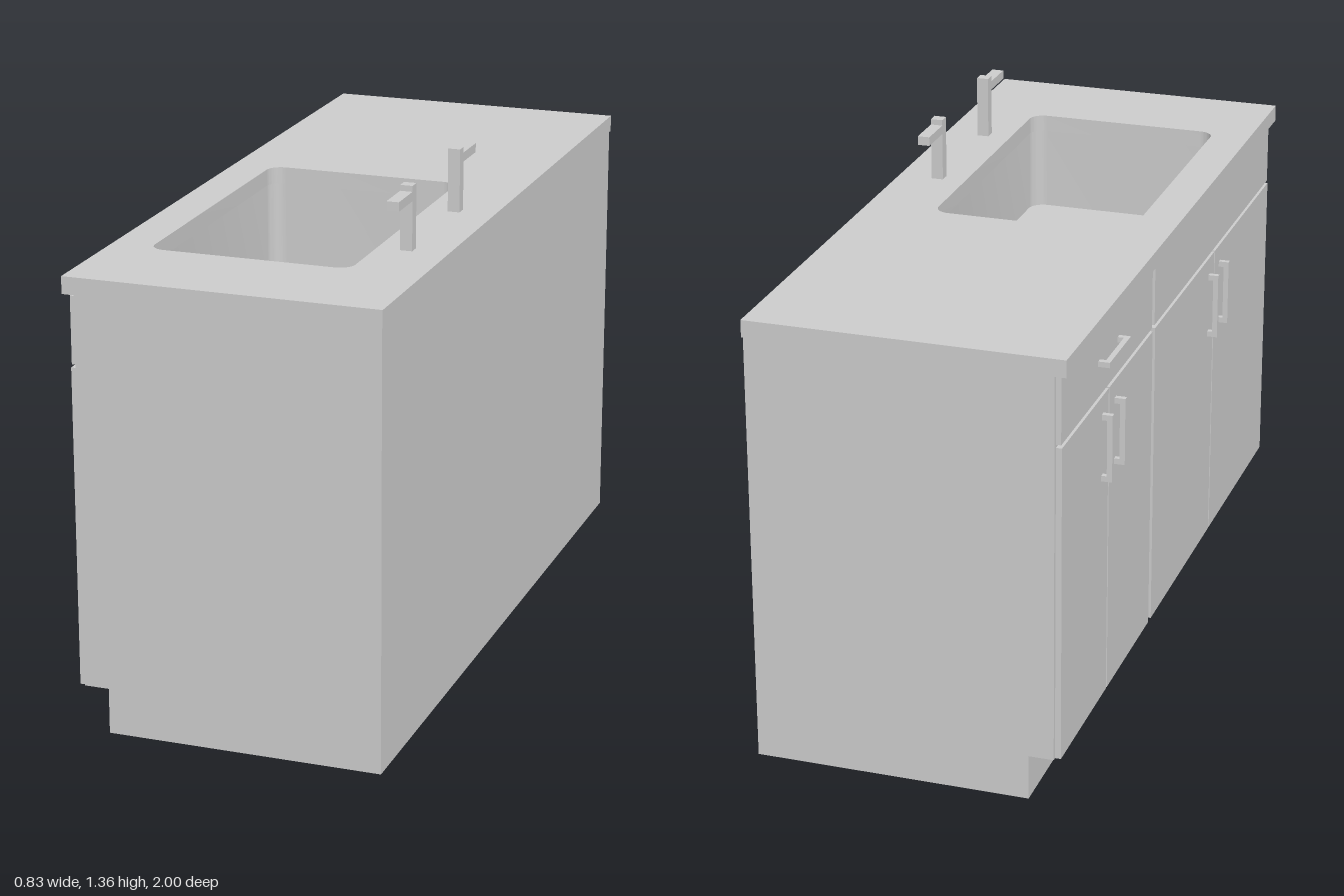
import * as THREE from 'three';
import { toCreasedNormals } from 'three/addons/utils/BufferGeometryUtils.js';

const material = new THREE.MeshStandardMaterial({ color: 0xcccccc });

function add(parent, name, geometry) {
  const mesh = new THREE.Mesh(geometry, material);
  mesh.name = name;
  parent.add(mesh);
  return mesh;
}

// Box given by its lower and upper limits on each axis
function block(parent, name, [x0, x1], [y0, y1], [z0, z1]) {
  const mesh = add(parent, name, new THREE.BoxGeometry(x1 - x0, y1 - y0, z1 - z0));
  mesh.position.set((x0 + x1) / 2, (y0 + y1) / 2, (z0 + z1) / 2);
  return mesh;
}

function polygon(points) {
  return new THREE.Shape(points.map(([x, y]) => new THREE.Vector2(x, y)));
}

// Rounded rectangle on the floor plan; the shape's y axis is -z
function roundedRect(x0, x1, z0, z1, r) {
  const s = new THREE.Shape();
  s.absarc(x1 - r, -z0 - r, r, 0, Math.PI / 2);
  s.absarc(x0 + r, -z0 - r, r, Math.PI / 2, Math.PI);
  s.absarc(x0 + r, -z1 + r, r, Math.PI, Math.PI * 1.5);
  s.absarc(x1 - r, -z1 + r, r, Math.PI * 1.5, Math.PI * 2);
  s.closePath();
  return s;
}

// Floor-plan shape raised from y0 to y1
function slab(parent, name, shape, y0, y1) {
  const geometry = new THREE.ExtrudeGeometry(shape, { depth: y1 - y0, bevelEnabled: false, curveSegments: 8 });
  geometry.rotateX(-Math.PI / 2);
  add(parent, name, toCreasedNormals(geometry, 0.6)).position.y = y0;
}

// U-shaped pull, centred on its length (y), projecting towards -x
function pull(parent, name, y, z, horizontal) {
  const shape = polygon([[0, -0.09], [0, -0.075], [-0.016, -0.075], [-0.016, 0.075],
    [0, 0.075], [0, 0.09], [-0.03, 0.09], [-0.03, -0.09]]);
  const geometry = new THREE.ExtrudeGeometry(shape, { depth: 0.014, bevelEnabled: false });
  geometry.translate(0, 0, -0.007);
  const mesh = add(parent, name, geometry);
  mesh.position.set(-0.388, y, z);
  if (horizontal) mesh.rotation.x = Math.PI / 2;
}

export function createModel() {
  const model = new THREE.Group();
  const END = 0.996, TOP = 1.145, BACK = 0.412, FACE = -0.375, KICK = -0.31, KICK_Y = 0.12, T = 0.02;

  // Carcass: notched end panels joined by face, back, toe kick and bottom
  const carcass = new THREE.Group();
  carcass.name = 'carcass';
  model.add(carcass);
  const endShape = polygon([[KICK, 0], [BACK, 0], [BACK, TOP], [FACE, TOP], [FACE, KICK_Y], [KICK, KICK_Y]]);
  for (const z of [-END, END - T]) {
    add(carcass, 'endPanel', new THREE.ExtrudeGeometry(endShape, { depth: T, bevelEnabled: false })).position.z = z;
  }
  const inner = [-END + T, END - T];
  block(carcass, 'facePanel', [FACE, FACE + T], [KICK_Y, TOP], inner);
  block(carcass, 'backPanel', [BACK - T, BACK], [0, TOP], inner);
  block(carcass, 'toeKick', [KICK, KICK + T], [0, KICK_Y], inner);
  block(carcass, 'kickSoffit', [FACE + T, KICK + T], [KICK_Y, KICK_Y + T], inner);
  block(carcass, 'bottomPanel', [KICK + T, BACK - T], [0, T], inner);

  // Countertop with the sink cut-out
  const counter = polygon([[-0.405, -1], [0.415, -1], [0.415, 1], [-0.405, 1]]);
  counter.holes.push(roundedRect(-0.3, 0.23, -0.14, 0.71, 0.04));
  slab(model, 'countertop', counter, TOP, 1.19);

  // Undermounted bowl
  const sink = new THREE.Group();
  sink.name = 'sink';
  model.add(sink);
  const wall = roundedRect(-0.32, 0.25, -0.16, 0.73, 0.06);
  wall.holes.push(roundedRect(-0.303, 0.233, -0.143, 0.713, 0.043));
  slab(sink, 'sinkWall', wall, 0.92, TOP);
  slab(sink, 'sinkFloor', roundedRect(-0.32, 0.25, -0.16, 0.73, 0.06), 0.9, 0.92);

  // Two bays, each a drawer front over a pair of doors
  for (const [z0, z1, drawerPull] of [[-0.985, -0.212, true], [-0.188, 0.99, false]]) {
    const mid = (z0 + z1) / 2;
    block(model, 'drawerFront', [-0.388, FACE], [0.965, 1.14], [z0, z1]);
    if (drawerPull) pull(model, 'drawerHandle', 1.055, mid, true);
    block(model, 'door', [-0.39, FACE], [KICK_Y, 0.957], [z0, mid - 0.004]);
    block(model, 'door', [-0.39, FACE], [KICK_Y, 0.957], [mid + 0.004, z1]);
    for (const side of [-1, 1]) pull(model, 'doorHandle', 0.82, mid + side * 0.055, false);
  }

  // Mirrored pair of taps with outward arms
  for (const side of [-1, 1]) {
    const tap = new THREE.Group();
    tap.name = 'tap';
    tap.position.set(0.307, 0, 0.31 + side * 0.19);
    model.add(tap);
    block(tap, 'tapPost', [-0.016, 0.016], [1.19, 1.357], [-0.015, 0.015]);
    const arm = [side * 0.015, side * 0.118].sort((a, b) => a - b);
    block(tap, 'tapArm', [-0.016, 0.016], [1.318, 1.342], arm);
  }
  return model;
}
